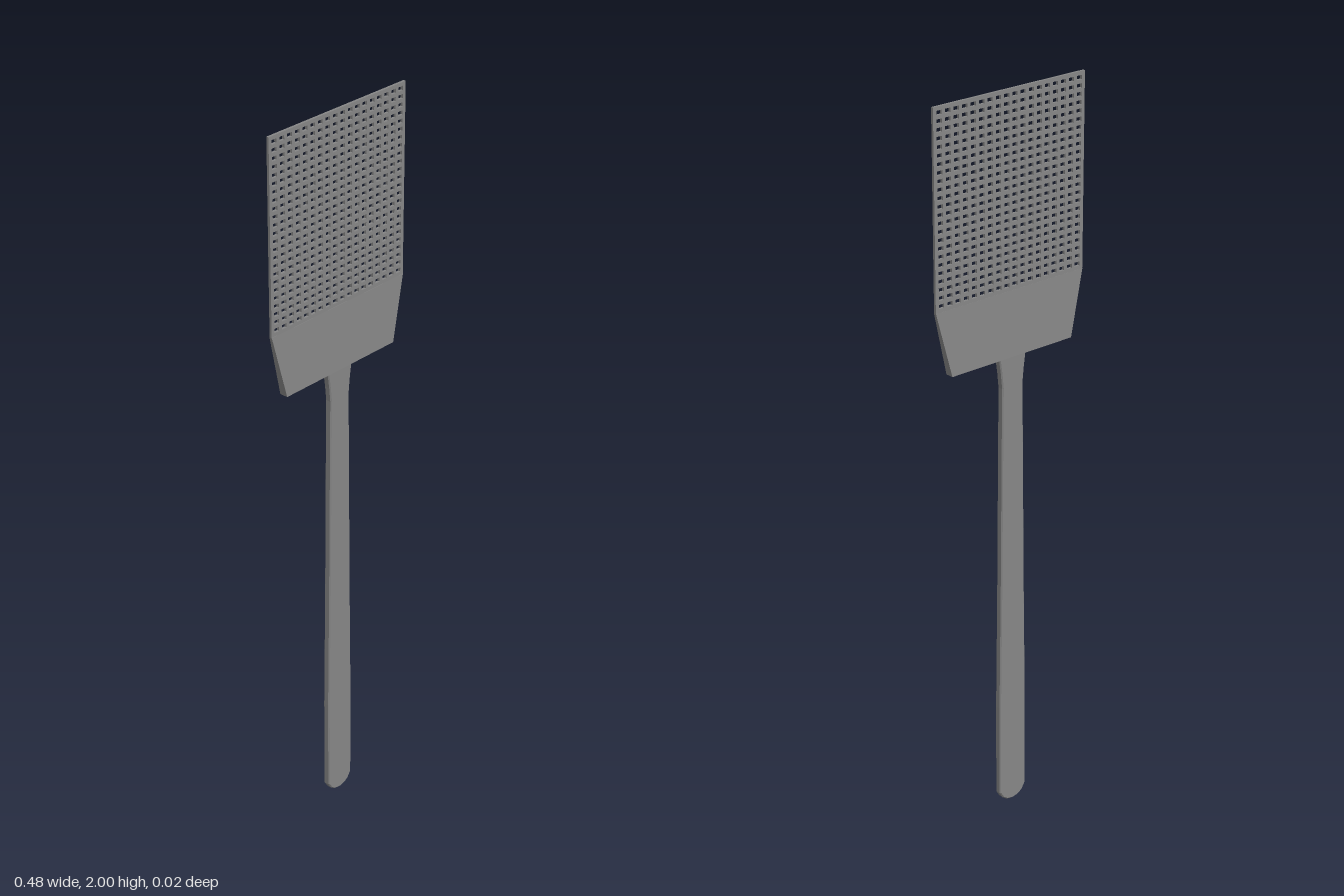
import * as THREE from 'three';

const HALF_W = 0.24, NECK_Y = 1.31, MESH_Y = 1.485, TOP_Y = 2;

export function createModel() {
  const group = new THREE.Group();
  const material = new THREE.MeshStandardMaterial({ color: 0x868686, flatShading: true });
  const add = (name, geometry) => {
    const mesh = new THREE.Mesh(geometry, material);
    mesh.name = name;
    group.add(mesh);
  };

  // Perforated sheet: a thin plate with a regular grid of rectangular holes
  const cols = 18, rows = 24, bar = 0.01, thick = 0.007;
  const stepX = (2 * HALF_W - bar) / cols, stepY = (TOP_Y - MESH_Y - bar) / rows;
  const rect = (Type, x0, y0, x1, y1) => new Type([[x0, y0], [x1, y0], [x1, y1], [x0, y1]]
    .map(([x, y]) => new THREE.Vector2(x, y)));
  const sheet = rect(THREE.Shape, -HALF_W, MESH_Y, HALF_W, TOP_Y);
  for (let i = 0; i < cols; i++) {
    for (let j = 0; j < rows; j++) {
      const x = -HALF_W + bar + i * stepX, y = MESH_Y + bar + j * stepY;
      sheet.holes.push(rect(THREE.Path, x, y, x + stepX - bar, y + stepY - bar));
    }
  }
  add('perforatedSheet', new THREE.ExtrudeGeometry(sheet, { depth: thick, bevelEnabled: false })
    .translate(0, 0, -thick / 2));

  // Solid collar: narrow and thick at the handle, wide and thin at the sheet
  const collar = new THREE.BoxGeometry(2, MESH_Y - NECK_Y, 2);
  const pos = collar.attributes.position;
  for (let i = 0; i < pos.count; i++) {
    const upper = pos.getY(i) > 0;
    pos.setX(i, pos.getX(i) * (upper ? HALF_W : 0.197));
    pos.setZ(i, pos.getZ(i) * (upper ? 0.004 : 0.0115));
  }
  collar.translate(0, (MESH_Y + NECK_Y) / 2, 0);
  collar.computeVertexNormals();
  add('collar', collar);

  // Handle: long tapering strip with chamfered edges, blunt foot and flared neck
  const bevel = 0.003;
  const side = [[0.02, 0.004], [0.034, 0.014], [0.045, 0.032], [0.045, 0.3], [0.04, 0.65],
    [0.036, 1.05], [0.034, 1.23], [0.038, 1.27], [0.045, NECK_Y + 0.01]];
  const outline = [[0, 0], ...side, ...side.map(([x, y]) => [-x, y]).reverse()];
  const handle = new THREE.Shape(outline.map(([x, y]) => new THREE.Vector2(x, y)));
  add('handle', new THREE.ExtrudeGeometry(handle, {
    depth: 0.014, bevelThickness: bevel, bevelSize: bevel, bevelOffset: -bevel, bevelSegments: 1,
  }).translate(-0.002, 0, -0.007));

  return group;
}
